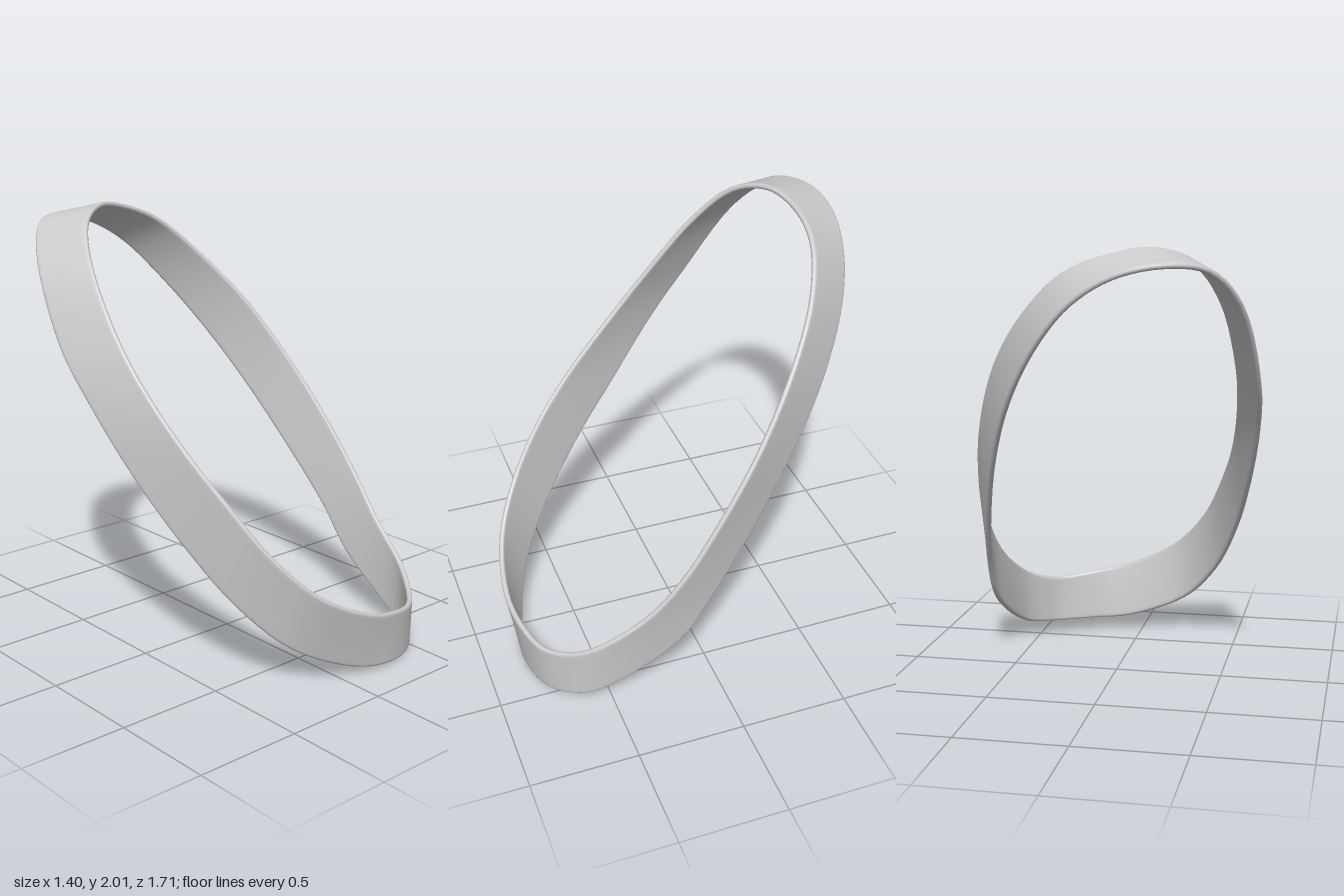
import * as THREE from 'three';

// Matching points around the two rims of the band: bottom, +x side, top, -x side
const UPPER_RIM = [
  [0.45, 0.24, 0.765], [0.555, 0.27, 0.66], [0.62, 0.335, 0.55], [0.67, 0.48, 0.35],
  [0.688, 0.66, 0.19], [0.66, 0.92, 0], [0.59, 1.2, -0.2], [0.46, 1.5, -0.4],
  [0.29, 1.73, -0.55], [0.1, 1.9, -0.625], [-0.1, 1.975, -0.625], [-0.275, 1.998, -0.57],
  [-0.43, 1.935, -0.46], [-0.52, 1.775, -0.31], [-0.562, 1.5, -0.08], [-0.557, 1.3, 0.1],
  [-0.512, 1.05, 0.34], [-0.44, 0.85, 0.52], [-0.33, 0.63, 0.68], [-0.155, 0.44, 0.8],
  [0.1, 0.31, 0.85], [0.3, 0.26, 0.825],
];
const LOWER_RIM = [
  [0.45, 0, 0.755], [0.55, 0.015, 0.655], [0.6, 0.05, 0.55], [0.638, 0.27, 0.18],
  [0.625, 0.48, 0.02], [0.565, 0.76, -0.19], [0.468, 1.08, -0.42], [0.345, 1.36, -0.61],
  [0.185, 1.61, -0.755], [0.03, 1.78, -0.825], [-0.15, 1.89, -0.852], [-0.35, 1.935, -0.825],
  [-0.52, 1.915, -0.725], [-0.635, 1.77, -0.575], [-0.69, 1.42, -0.33], [-0.672, 1.2, -0.15],
  [-0.613, 0.92, 0.07], [-0.53, 0.65, 0.3], [-0.4, 0.38, 0.52], [-0.22, 0.18, 0.68],
  [0.08, 0.04, 0.79], [0.28, 0.008, 0.81],
];
const SEGMENTS = 110;
const HALF = 0.013; // half the wall thickness

const closedCurve = (points) =>
  new THREE.CatmullRomCurve3(points.map((p) => new THREE.Vector3(...p)), true, 'centripetal');

// Wall section: [share of straight length, offset along width, offset outward], with rounded rims
function wallSection() {
  const section = [];
  for (let k = 0; k <= 6; k++) {
    const a = (k / 6) * Math.PI;
    section.push([0, HALF * (1 - Math.sin(a)), -HALF * Math.cos(a)]);
  }
  for (const s of [0.05, 0.35, 0.65, 0.95]) section.push([s, HALF, HALF]);
  for (let k = 0; k <= 6; k++) {
    const a = (k / 6) * Math.PI;
    section.push([1, HALF * (1 + Math.sin(a)), HALF * Math.cos(a)]);
  }
  for (const s of [0.95, 0.65, 0.35, 0.05]) section.push([s, HALF, -HALF]);
  return section;
}

function bandGeometry() {
  const upper = closedCurve(UPPER_RIM);
  const lower = closedCurve(LOWER_RIM);
  const section = wallSection();
  const count = section.length;
  const positions = [];
  const index = [];
  for (let i = 0; i < SEGMENTS; i++) {
    const t = i / SEGMENTS;
    const a = upper.getPoint(t);
    const across = lower.getPoint(t).sub(a);
    const width = across.length();
    across.normalize();
    const along = upper.getTangent(t).add(lower.getTangent(t));
    const outward = across.clone().cross(along).normalize();
    section.forEach(([share, u, v], j) => {
      const p = a.clone()
        .addScaledVector(across, share * (width - 2 * HALF) + u)
        .addScaledVector(outward, v);
      positions.push(p.x, p.y, p.z);
      const i2 = (i + 1) % SEGMENTS;
      const j2 = (j + 1) % count;
      const q = [i * count + j, i * count + j2, i2 * count + j2, i2 * count + j];
      index.push(q[0], q[1], q[2], q[0], q[2], q[3]);
    });
  }
  const geometry = new THREE.BufferGeometry();
  geometry.setAttribute('position', new THREE.Float32BufferAttribute(positions, 3));
  geometry.setIndex(index);
  geometry.computeVertexNormals();
  return geometry;
}

export function createModel() {
  const group = new THREE.Group();
  group.name = 'tiltedRing';
  const band = new THREE.Mesh(bandGeometry(), new THREE.MeshStandardMaterial({ color: 0xcccccc }));
  band.name = 'band';
  group.add(band);
  return group;
}
